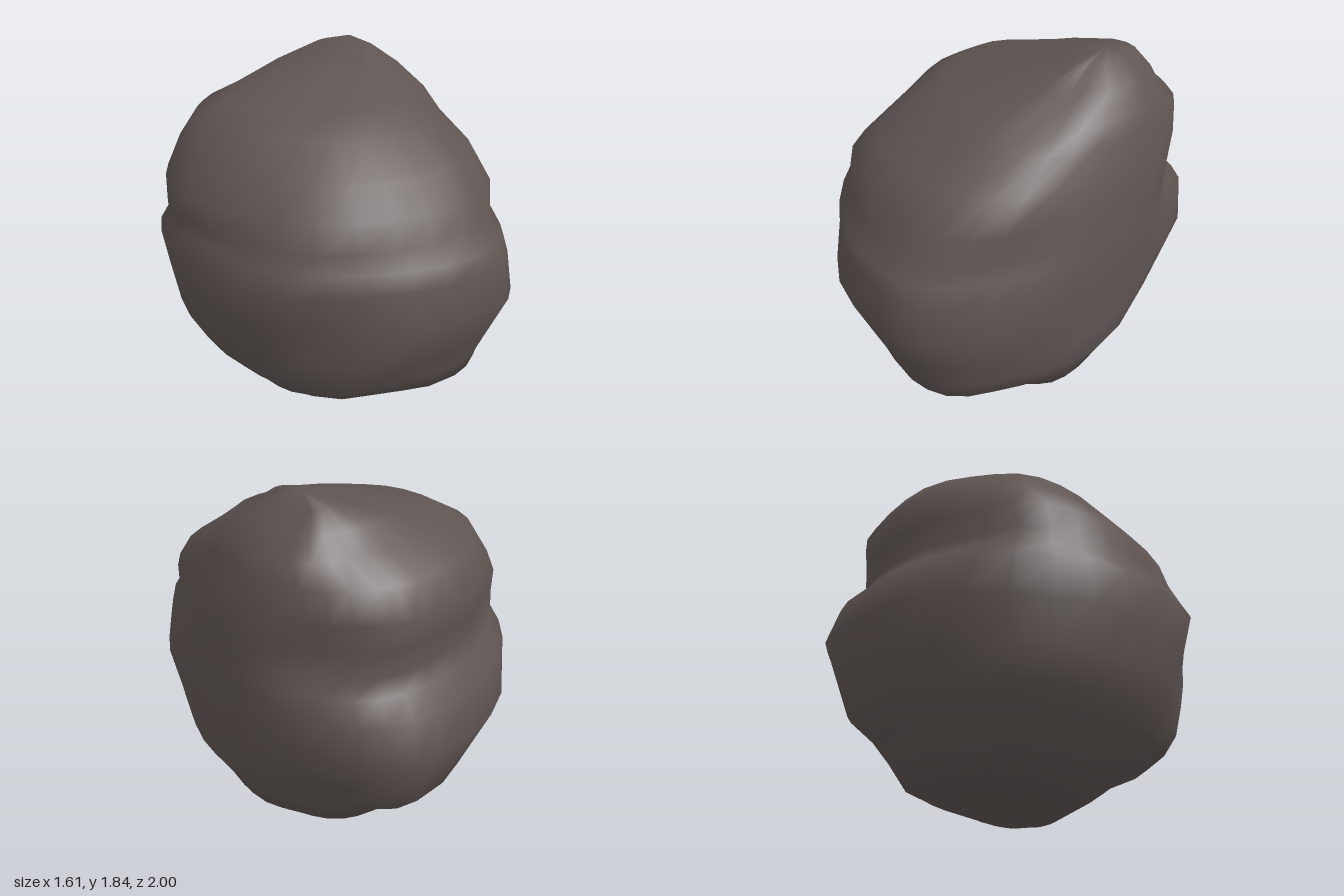
import * as THREE from 'three';

// Cross-sections from the base up: y, left/right x limits, back/front z limits, x and z of the widest points
const SECTIONS = [
  [0.00, -0.05, 0.38, -0.08, 0.27, 0.22, 0.10],
  [0.09, -0.38, 0.61, -0.53, 0.42, 0.22, 0.00],
  [0.20, -0.47, 0.66, -0.64, 0.60, 0.22, 0.00],
  [0.30, -0.57, 0.72, -0.74, 0.82, 0.22, 0.02],
  [0.40, -0.66, 0.77, -0.86, 0.85, 0.23, 0.04],
  [0.55, -0.74, 0.79, -0.91, 0.91, 0.25, 0.02],
  [0.77, -0.78, 0.79, -1.00, 1.00, 0.26, 0.00],
  [0.96, -0.81, 0.80, -0.94, 0.95, 0.24, -0.05],
  [1.05, -0.75, 0.79, -0.85, 0.93, 0.20, -0.08],
  [1.13, -0.75, 0.79, -0.81, 0.84, 0.18, -0.10],
  [1.26, -0.73, 0.78, -0.83, 0.82, 0.18, -0.12],
  [1.40, -0.63, 0.76, -0.85, 0.68, 0.20, -0.16],
  [1.54, -0.53, 0.72, -0.77, 0.46, 0.22, -0.20],
  [1.62, -0.38, 0.69, -0.61, 0.34, 0.24, -0.20],
  [1.72, -0.03, 0.61, -0.53, 0.10, 0.32, -0.24],
  [1.80, 0.30, 0.50, -0.44, -0.06, 0.40, -0.26],
];

// Hollows and swellings: x, y, z, reach, depth (negative swells)
const DENTS = [
  [0.66, 0.30, -0.55, 0.32, 0.09],
  [0.62, 1.28, -0.58, 0.16, 0.06],
  [-0.56, 0.70, 0.66, 0.16, 0.05],
  [-0.60, 0.98, 0.55, 0.14, -0.03],
  [0.62, 0.50, 0.66, 0.22, 0.05],
  [0.55, 1.50, 0.20, 0.22, 0.03],
  [-0.45, 1.10, -0.72, 0.18, 0.04],
  [-0.15, 0.22, 0.62, 0.18, 0.04],
];

const SIDES = 32;

function surfacePoint([y, x0, x1, z0, z1, cx, cz], j) {
  const a = (j / SIDES) * Math.PI * 2;
  const c = Math.cos(a), s = Math.sin(a);
  const bend = (v) => Math.sign(v) * Math.pow(Math.abs(v), 0.94);
  const p = new THREE.Vector3(
    cx + bend(c) * (c > 0 ? x1 - cx : cx - x0),
    y,
    cz + bend(s) * (s > 0 ? z1 - cz : cz - z0)
  );
  // Gentle unevenness that fades out at the widest points
  const wobble = 0.018 * Math.sin(2 * a) ** 2 * Math.sin(5 * a + 7 * y);
  p.x += c * wobble;
  p.z += s * wobble;
  const start = p.clone();
  const inward = new THREE.Vector3(0.1, 0.9, 0).sub(p).normalize();
  for (const [dx, dy, dz, reach, depth] of DENTS) {
    const d = start.distanceTo(new THREE.Vector3(dx, dy, dz));
    p.addScaledVector(inward, depth * Math.exp(-((d / reach) ** 2)));
  }
  p.y = Math.max(p.y, 0);
  return p;
}

function boulderGeometry() {
  const points = [], index = [];
  for (const section of SECTIONS)
    for (let j = 0; j < SIDES; j++) points.push(surfacePoint(section, j));

  const last = (SECTIONS.length - 1) * SIDES;
  const bottom = points.push(new THREE.Vector3(0.2, 0, 0.1)) - 1;
  const top = points.push(new THREE.Vector3(0.43, 1.84, -0.27)) - 1;

  for (let j = 0; j < SIDES; j++) {
    const k = (j + 1) % SIDES;
    // Side faces between neighbouring sections
    for (let r = 0; r < last; r += SIDES) {
      const up = r + SIDES;
      index.push(r + j, up + j, r + k, up + j, up + k, r + k);
    }
    // End caps
    index.push(bottom, j, k, top, last + k, last + j);
  }
  const geometry = new THREE.BufferGeometry().setFromPoints(points);
  geometry.setIndex(index);
  geometry.computeVertexNormals();
  return geometry;
}

export function createModel() {
  const stone = new THREE.MeshStandardMaterial({ color: 0x5f5553 });
  stone.name = 'dark stone';

  const boulder = new THREE.Mesh(boulderGeometry(), stone);
  boulder.name = 'boulder';

  const group = new THREE.Group();
  group.name = 'rock';
  group.add(boulder);
  return group;
}
